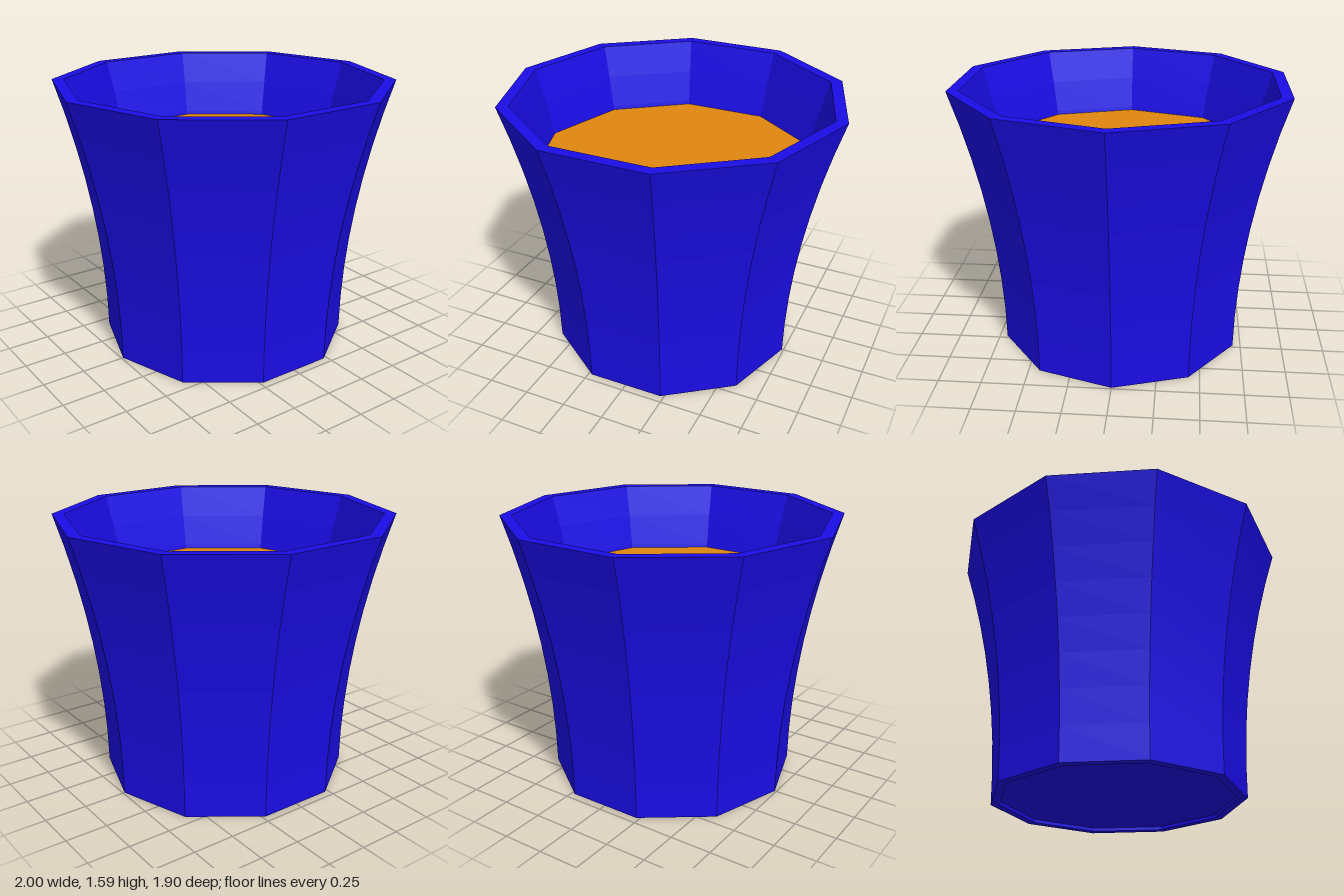
import * as THREE from 'three';

const SIDES = 10, HEIGHT = 1.59, WALL = 0.93, RINGS = 8;
const FILL_Y = 1.19;

// Outer corner radius: flares gently towards the rim
const radiusAt = (y) => 0.74 + 0.26 * (y / HEIGHT) ** 2;

export function createModel() {
  const model = new THREE.Group();
  model.name = 'filledPot';

  // Closed wall section: recessed underside, foot ring, outside, rim, inside, floor
  const recess = 0.02, floorTop = 0.08;
  const profile = [
    new THREE.Vector2(0, recess),
    new THREE.Vector2(WALL * radiusAt(0), recess),
    new THREE.Vector2(WALL * radiusAt(0), 0),
  ];
  for (let i = 0; i <= RINGS; i++) {
    const y = (HEIGHT * i) / RINGS;
    profile.push(new THREE.Vector2(radiusAt(y), y));
  }
  for (let i = RINGS; i >= 0; i--) {
    const y = floorTop + ((HEIGHT - floorTop) * i) / RINGS;
    profile.push(new THREE.Vector2(WALL * radiusAt(y), y));
  }
  profile.push(new THREE.Vector2(0, floorTop));

  const pot = new THREE.Mesh(
    new THREE.LatheGeometry(profile, SIDES, Math.PI / 2),
    new THREE.MeshStandardMaterial({ color: 0x1a0de6, flatShading: true })
  );
  pot.name = 'pot';
  model.add(pot);

  // Flat filling surface, meeting the inner wall
  const filling = new THREE.Mesh(
    new THREE.CircleGeometry(WALL * radiusAt(FILL_Y), SIDES).rotateX(-Math.PI / 2),
    new THREE.MeshStandardMaterial({ color: 0xe0860f, flatShading: true, side: THREE.DoubleSide })
  );
  filling.position.y = FILL_Y;
  filling.name = 'filling';
  model.add(filling);

  return model;
}
